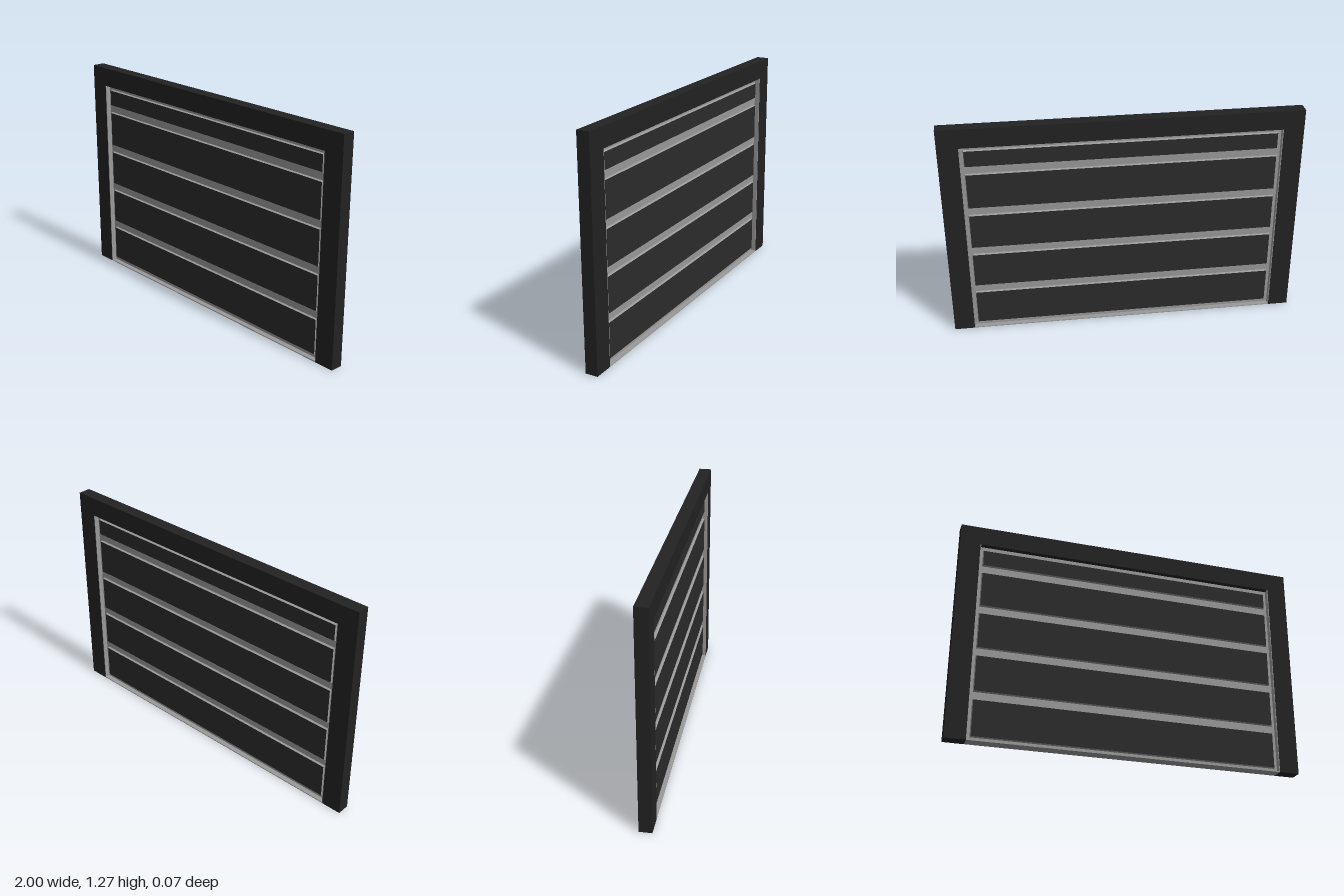
import * as THREE from 'three';

const dark = new THREE.MeshStandardMaterial({ color: 0x222222 });
const panelDark = new THREE.MeshStandardMaterial({ color: 0x2b2b2b, flatShading: true });
const grey = new THREE.MeshStandardMaterial({ color: 0x999999 });
const edgeGrey = new THREE.MeshStandardMaterial({ color: 0x999999, flatShading: true });

const DEPTH = 0.072, HEIGHT = 1.275;
const OPEN_X = 0.885, OPEN_Y = 1.165;

function box(name, w, h, d, x, y, z = 0) {
  const mesh = new THREE.Mesh(new THREE.BoxGeometry(w, h, d), grey);
  mesh.name = name;
  mesh.position.set(x, y, z);
  return mesh;
}

// Panel raised on both faces of the door, with bevelled grey edges
function raisedPanel(bottom, top) {
  const bevel = 0.006, w = 1.72 + 2 * bevel, h = top - bottom + 2 * bevel;
  const geo = new THREE.BoxGeometry(w, h, 0.036, 1, 1, 2);
  const p = geo.attributes.position;
  for (let i = 0; i < p.count; i++) {
    if (Math.abs(p.getZ(i)) < 0.001) continue;
    p.setX(i, p.getX(i) - Math.sign(p.getX(i)) * bevel);
    p.setY(i, p.getY(i) - Math.sign(p.getY(i)) * bevel);
  }
  geo.computeVertexNormals();
  const mesh = new THREE.Mesh(geo, [edgeGrey, edgeGrey, edgeGrey, edgeGrey, panelDark, panelDark]);
  mesh.name = 'doorPanel';
  mesh.position.y = (bottom + top) / 2;
  return mesh;
}

export function createModel() {
  const model = new THREE.Group();
  model.name = 'garageDoor';

  // Surrounding frame: two jambs and a lintel in one piece
  const outline = new THREE.Shape([
    [-1, 0], [-OPEN_X, 0], [-OPEN_X, OPEN_Y], [OPEN_X, OPEN_Y],
    [OPEN_X, 0], [1, 0], [1, HEIGHT], [-1, HEIGHT],
  ].map(([x, y]) => new THREE.Vector2(x, y)));
  const frameGeo = new THREE.ExtrudeGeometry(outline, { depth: DEPTH, bevelEnabled: false });
  frameGeo.translate(0, 0, -DEPTH / 2);
  const frame = new THREE.Mesh(frameGeo, dark);
  frame.name = 'frame';
  model.add(frame);

  // Side linings and threshold
  for (const s of [-1, 1]) {
    model.add(box('jambLining', 0.004, OPEN_Y, DEPTH - 0.001, s * (OPEN_X - 0.002), OPEN_Y / 2));
  }
  model.add(box('threshold', 2 * OPEN_X - 0.008, 0.005, DEPTH - 0.001, 0, 0.0025));

  // Door leaf with its raised panels
  const door = new THREE.Group();
  door.name = 'door';
  door.add(box('doorLeaf', 2 * OPEN_X - 0.008, OPEN_Y - 0.005, 0.012, 0, (OPEN_Y + 0.005) / 2));
  for (let i = 0; i < 5; i++) {
    const bottom = 0.03 + i * 0.254;
    door.add(raisedPanel(bottom, i < 4 ? bottom + 0.203 : 1.137));
  }
  model.add(door);
  return model;
}
